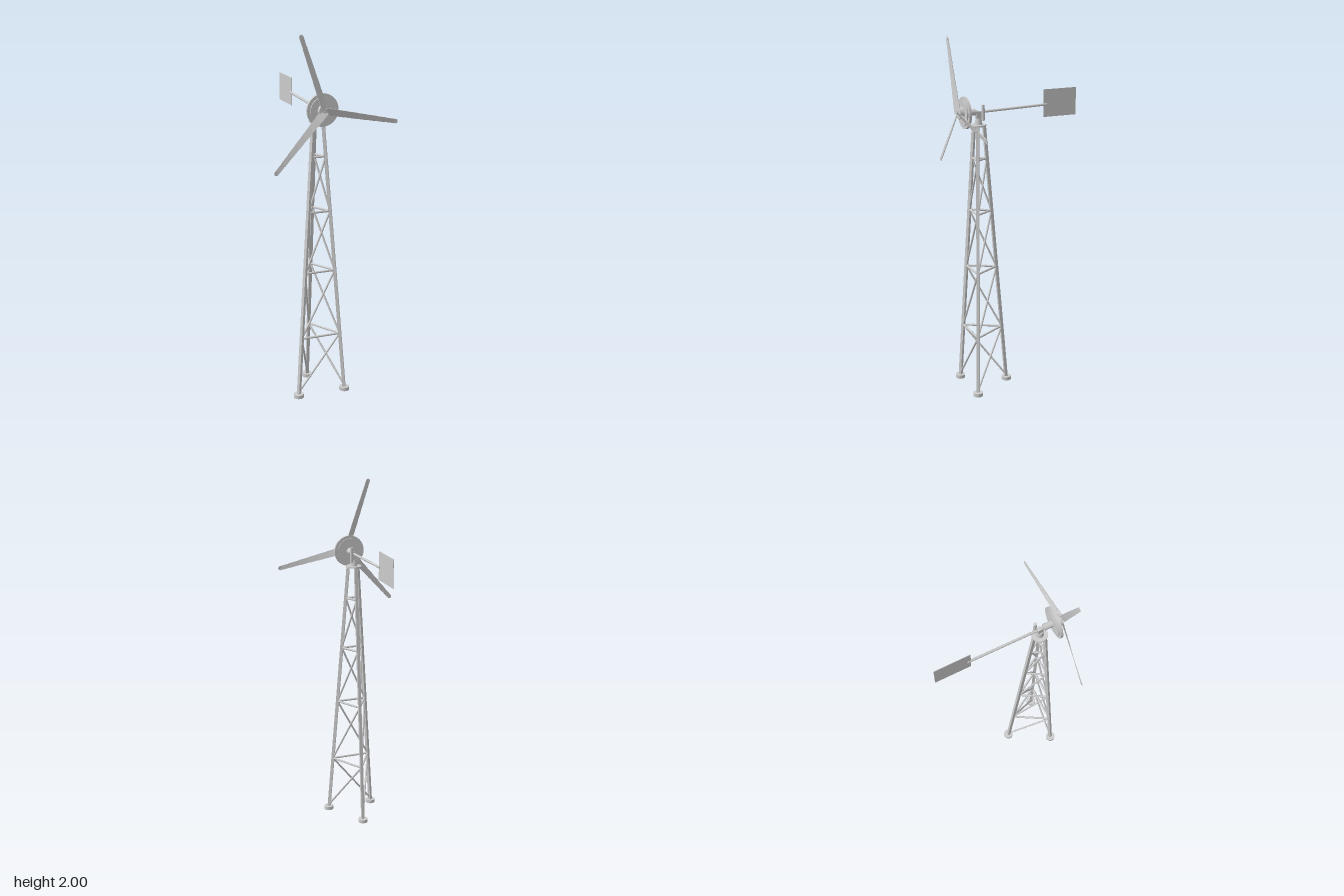
import * as THREE from 'three';

const CX = -0.066, CZ = 0.231, HUB_Y = 1.606;
const TOWER_TOP = 1.53;

export function createModel() {
  const root = new THREE.Group();
  root.name = 'windTurbine';
  const mat = new THREE.MeshStandardMaterial({ color: 0xcccccc });

  const add = (name, geo, x = 0, y = 0, z = 0, parent = root) => {
    const m = new THREE.Mesh(geo, mat);
    m.name = name;
    m.position.set(x, y, z);
    parent.add(m);
    return m;
  };

  // Straight member between two points, round or square
  const beam = (name, a, b, w, square = false, parent = root) => {
    const len = a.distanceTo(b);
    const geo = square ? new THREE.BoxGeometry(w, len, w) : new THREE.CylinderGeometry(w / 2, w / 2, len, 10);
    const m = add(name, geo, 0, 0, 0, parent);
    m.position.copy(a).add(b).multiplyScalar(0.5);
    m.quaternion.setFromUnitVectors(new THREE.Vector3(0, 1, 0), b.clone().sub(a).normalize());
    return m;
  };

  // Disc or drum whose axis runs front to back
  const drum = (name, r, z0, z1) => {
    const m = add(name, new THREE.CylinderGeometry(r, r, z1 - z0, 40), CX, HUB_Y, (z0 + z1) / 2);
    m.rotation.x = Math.PI / 2;
  };

  // Point on the centre line of leg i at height y (0 back, 1 left in front view, 2 right)
  const legPoint = (i, y) => {
    const r = THREE.MathUtils.lerp(0.157, 0.032, y / TOWER_TOP);
    const a = Math.PI - (i * Math.PI * 2) / 3;
    return new THREE.Vector3(CX + r * Math.sin(a), y, CZ + r * Math.cos(a)).setX(CX - r * Math.sin(a));
  };

  // Three-legged lattice tower, one diagonal per bay on each face, winding upwards
  const tower = new THREE.Group();
  tower.name = 'tower';
  root.add(tower);
  const levels = [0.03, 0.34, 0.71, 1.045, 1.345];
  for (let i = 0; i < 3; i++) {
    const next = (i + 1) % 3;
    const foot = legPoint(i, 0);
    add('footPad', new THREE.CylinderGeometry(0.028, 0.028, 0.02, 24), foot.x, 0.01, foot.z, tower);
    const leg = beam('leg', legPoint(i, 0.01), legPoint(i, TOWER_TOP), 0.017, true, tower);
    leg.rotateY((i * Math.PI * 2) / 3);
    for (let k = 1; k < levels.length; k++) {
      const lo = levels[k - 1], hi = levels[k];
      beam('horizontalBrace', legPoint(i, hi), legPoint(next, hi), 0.012, false, tower);
      beam('diagonalBrace', legPoint(i, lo), legPoint(next, hi), 0.011, false, tower);
    }
  }

  // Turntable on top of the tower
  add('topPlate', new THREE.CylinderGeometry(0.043, 0.043, 0.008, 32), CX, 1.532, CZ);
  add('yawBearing', new THREE.CylinderGeometry(0.016, 0.022, 0.035, 24), CX, 1.553, CZ);
  add('yawBracket', new THREE.BoxGeometry(0.018, 0.04, 0.03), CX, 1.588, CZ);
  add('sidePost', new THREE.CylinderGeometry(0.009, 0.009, 0.085, 16), CX + 0.021, 1.6025, 0.212);

  // Generator, shaft and hub
  drum('shaft', 0.009, 0.235, 0.352);
  drum('generatorHousing', 0.018, 0.25, 0.3);
  drum('rearRotorPlate', 0.07, 0.299, 0.304);
  drum('generatorDisc', 0.087, 0.304, 0.318);
  drum('frontRotorPlate', 0.07, 0.318, 0.325);
  drum('hub', 0.032, 0.325, 0.348);
  drum('hubNut', 0.009, 0.348, 0.358);

  // Stepped, twisted blades
  const SEGMENTS = 7, STEP = 0.058;
  for (let b = 0; b < 3; b++) {
    const blade = new THREE.Group();
    blade.name = 'blade';
    blade.position.set(CX, HUB_Y, 0.352);
    blade.rotation.z = THREE.MathUtils.degToRad(108.7 + b * 120);
    root.add(blade);
    for (let s = 0; s < SEGMENTS; s++) {
      const t = s / (SEGMENTS - 1);
      const w = THREE.MathUtils.lerp(0.042, 0.024, t);
      const seg = add('bladeSegment', new THREE.BoxGeometry(STEP + 0.002, w, 0.003), (s + 0.5) * STEP, 0, 0, blade);
      seg.rotation.x = THREE.MathUtils.lerp(0.45, 0.15, t);
    }
    const tip = add('bladeTip', new THREE.CylinderGeometry(0.011, 0.011, 0.003, 20), SEGMENTS * STEP, 0, 0, blade);
    tip.rotation.x = Math.PI / 2;
  }

  // Tail boom and vane
  beam('tailBoom', new THREE.Vector3(CX, 1.604, 0.212), new THREE.Vector3(CX, 1.616, -0.18), 0.014);
  add('tailVane', new THREE.BoxGeometry(0.003, 0.155, 0.202), CX, 1.623, -0.262);

  return root;
}
